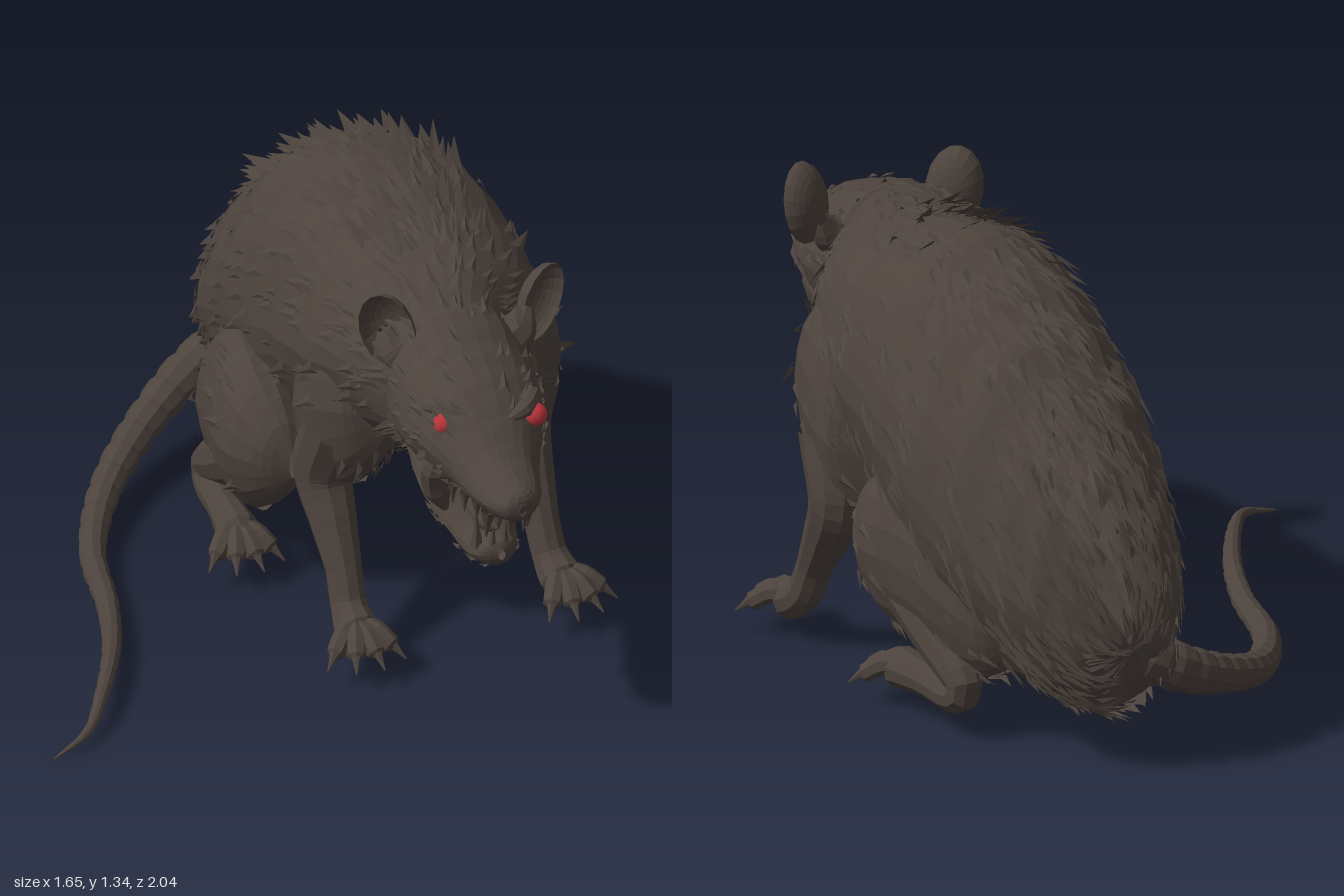
import * as THREE from 'three';
import { mergeGeometries } from 'three/addons/utils/BufferGeometryUtils.js';

const V = (x, y, z) => new THREE.Vector3(x, y, z);
let seed = 7;
const rnd = () => (seed = (seed * 16807) % 2147483647) / 2147483647;

// Skin through elliptical sections [z, x, top, bottom, halfWidth], listed front to back
function loft(rows, n = 40, m = 28, lump = 0.02) {
  const mid = new THREE.CatmullRomCurve3(rows.map(r => V(r[1], (r[2] + r[3]) / 2, r[0])), false, 'catmullrom');
  const size = new THREE.CatmullRomCurve3(rows.map(r => V(r[4], (r[2] - r[3]) / 2, 0)), false, 'catmullrom');
  const at = (t, a) => {
    const c = mid.getPoint(t), s = size.getPoint(t);
    const k = 1 + lump * Math.sin(a * 5 + t * 31) * Math.cos(a * 3 - t * 47);
    const taper = 1 - 0.12 * Math.max(0, -Math.sin(a));
    return V(c.x + Math.cos(a) * s.x * k * taper, c.y + Math.sin(a) * s.y * k, c.z);
  };
  const pos = [], idx = [];
  for (let i = 0; i <= n; i++) for (let j = 0; j < m; j++) pos.push(...at(i / n, j / m * Math.PI * 2).toArray());
  for (let i = 0; i < n; i++) for (let j = 0; j < m; j++) {
    const a = i * m + j, c = i * m + (j + 1) % m;
    idx.push(a, a + m, c, c, a + m, c + m);
  }
  const geo = new THREE.BufferGeometry();
  geo.setAttribute('position', new THREE.Float32BufferAttribute(pos, 3));
  geo.setIndex(idx);
  geo.computeVertexNormals();
  return { geo, at };
}

// Swept limb through [x, y, z, radius]
function limb(pts, n = 20, m = 9, ringed = false) {
  const curve = new THREE.CatmullRomCurve3(pts.map(p => V(p[0], p[1], p[2])));
  const geo = new THREE.TubeGeometry(curve, n, 1, m), pos = geo.attributes.position, v = V();
  for (let i = 0; i <= n; i++) {
    const c = curve.getPointAt(i / n), t = curve.getUtoTmapping(i / n) * (pts.length - 1);
    const k = Math.min(Math.floor(t), pts.length - 2);
    const r = THREE.MathUtils.lerp(pts[k][3], pts[k + 1][3], t - k) * (ringed && i % 4 === 0 ? 0.9 : 1);
    for (let j = 0; j <= m; j++) {
      const q = i * (m + 1) + j;
      v.fromBufferAttribute(pos, q).sub(c).multiplyScalar(r).add(c);
      pos.setXYZ(q, v.x, v.y, v.z);
    }
  }
  geo.computeVertexNormals();
  return geo;
}

// Pointed tufts lying back along a lofted skin
function tufts(at, count, { t0 = 0.03, t1 = 0.93, a0 = 0, a1 = Math.PI * 2, len = 0.09, lift = 0.12 } = {}) {
  const pos = [];
  for (let i = 0; i < count; i++) {
    const t = t0 + (t1 - t0) * rnd(), a = a0 + (a1 - a0) * rnd(), p = at(t, a);
    const back = at(t + 0.01, a).sub(p).normalize();
    const normal = back.clone().cross(at(t, a + 0.02).sub(p)).normalize();
    back.y -= 0.4;
    back.addScaledVector(normal, -back.dot(normal)).normalize();
    const side = normal.clone().cross(back), l = len * (0.6 + 0.7 * rnd()), w = l * 0.23;
    const tip = p.clone().addScaledVector(back, l).addScaledVector(normal, l * lift * (0.6 + rnd()));
    const ridge = p.clone().addScaledVector(normal, 0.01).addScaledVector(back, l * 0.2);
    const L = p.clone().addScaledVector(side, -w), R = p.clone().addScaledVector(side, w);
    for (const q of [L, tip, ridge, ridge, tip, R]) pos.push(...q.toArray());
  }
  const geo = new THREE.BufferGeometry();
  geo.setAttribute('position', new THREE.Float32BufferAttribute(pos, 3));
  geo.computeVertexNormals();
  return geo;
}

// Tapered spike from one point to another, for teeth and claws
const spike = (a, b, r) => limb([[...a, r], [...b, 0.002]], 2, 6);

// Four clawed toes fanned forward from the end of a foot
function toes(x, y, z, s, len) {
  const parts = [];
  for (let i = 0; i < 4; i++) {
    const a = (i - 1.5) * 0.5 + s * 0.15, dx = Math.sin(a), dz = Math.cos(a);
    const p = d => [x + dx * d, z + dz * d];
    const [x1, z1] = p(len * 0.5), [x2, z2] = p(len), [x3, z3] = p(len + 0.045);
    parts.push(limb([[x, y, z, 0.034], [x1, y + 0.016, z1, 0.03], [x2, y - 0.015, z2, 0.026], [x2 + dx * 0.015, y - 0.022, z2 + dz * 0.015, 0.003]], 8, 7));
    parts.push(spike([x2, y - 0.01, z2], [x3, y - 0.045, z3], 0.016));
  }
  return mergeGeometries(parts);
}

export function createModel() {
  const model = new THREE.Group();
  const fur = new THREE.MeshStandardMaterial({ color: 0x4d433d, flatShading: true, side: THREE.DoubleSide });
  fur.name = 'dark brown fur';
  const red = new THREE.MeshStandardMaterial({ color: 0xb8343a });
  red.name = 'red eye';
  const add = (name, geo, mat = fur) => {
    const mesh = new THREE.Mesh(geo, mat);
    mesh.name = name;
    model.add(mesh);
    return mesh;
  };

  // Hunched body with its coat
  const body = loft([
    [0.50, 0.29, 1.13, 0.76, 0.13], [0.40, 0.30, 1.18, 0.71, 0.20], [0.22, 0.36, 1.21, 0.62, 0.30],
    [0.05, 0.38, 1.235, 0.50, 0.34], [-0.15, 0.385, 1.28, 0.37, 0.355], [-0.35, 0.39, 1.225, 0.25, 0.355],
    [-0.55, 0.385, 1.11, 0.18, 0.335], [-0.72, 0.375, 0.95, 0.14, 0.285], [-0.84, 0.37, 0.80, 0.15, 0.235],
    [-0.92, 0.36, 0.65, 0.19, 0.17], [-0.96, 0.36, 0.52, 0.30, 0.10], [-0.97, 0.36, 0.44, 0.38, 0.01],
  ], 56, 36);
  add('body', body.geo);
  add('bodyFur', tufts(body.at, 800));
  add('backRidgeFur', tufts(body.at, 240, { a0: 1.05, a1: 2.1, t0: 0.2, t1: 0.9, len: 0.1, lift: 0.35 }));
  add('rumpFur', tufts(body.at, 160, { t0: 0.6, t1: 0.92 }));

  // Skull and muzzle, turned a little to the right, and open lower jaw
  const head = loft([
    [1.0, 0.25, 0.905, 0.87, 0.01], [0.985, 0.25, 0.93, 0.85, 0.05], [0.93, 0.255, 0.945, 0.825, 0.08],
    [0.84, 0.265, 0.97, 0.80, 0.105], [0.75, 0.28, 1.03, 0.79, 0.14], [0.66, 0.29, 1.09, 0.77, 0.18],
    [0.55, 0.30, 1.135, 0.73, 0.20], [0.42, 0.31, 1.18, 0.72, 0.20], [0.34, 0.31, 1.11, 0.80, 0.12],
  ], 34, 26);
  add('head', head.geo);
  add('headFur', tufts(head.at, 110, { t0: 0.5, t1: 0.9, len: 0.06, lift: 0.08 }));
  const jaw = loft([
    [0.81, 0.275, 0.64, 0.61, 0.01], [0.79, 0.275, 0.665, 0.585, 0.05], [0.74, 0.275, 0.665, 0.575, 0.075],
    [0.66, 0.28, 0.70, 0.605, 0.10], [0.55, 0.285, 0.79, 0.665, 0.135], [0.42, 0.29, 0.86, 0.70, 0.12],
  ], 20, 18);
  add('lowerJaw', jaw.geo);
  add('jawFur', tufts(jaw.at, 60, { t0: 0.25, len: 0.05, a0: Math.PI, lift: 0.1 }));
  add('tongue', limb([[0.28, 0.76, 0.58, 0.04], [0.278, 0.71, 0.67, 0.045], [0.276, 0.69, 0.74, 0.035], [0.276, 0.69, 0.77, 0.004]], 10, 8));
  add('nose', new THREE.SphereGeometry(0.045, 10, 8).scale(1.1, 0.8, 0.7).translate(0.25, 0.905, 0.968));

  // Fangs, cheek teeth, cheeks, brows, eyes and ears
  for (const s of [-1, 1]) {
    const side = s < 0 ? 'right' : 'left', turn = s * 0.03;
    const teeth = [
      spike([0.255 + s * 0.022, 0.85, 0.95], [0.255 + s * 0.02, 0.785, 0.945], 0.016),
      spike([0.262 + s * 0.06, 0.84, 0.885], [0.265 + s * 0.06, 0.735, 0.86], 0.024),
      spike([0.275 + s * 0.018, 0.64, 0.785], [0.275 + s * 0.018, 0.71, 0.795], 0.014),
      spike([0.275 + s * 0.05, 0.64, 0.755], [0.275 + s * 0.054, 0.74, 0.765], 0.02),
    ];
    for (let i = 0; i < 3; i++) {
      const z = 0.82 - i * 0.05, x = 0.272 + s * (0.075 + i * 0.012);
      teeth.push(spike([x, 0.83, z], [x, 0.765, z - 0.005], 0.016));
    }
    add(side + 'Teeth', mergeGeometries(teeth));
    add(side + 'Cheek', limb([[0.285 + s * 0.13, 0.90, 0.67, 0.01], [0.285 + s * 0.13, 0.84, 0.64, 0.04], [0.283 + s * 0.11, 0.75, 0.62, 0.04], [0.282 + s * 0.09, 0.69, 0.63, 0.01]], 10, 8));
    add(side + 'Brow', limb([[0.285 + s * 0.03, 1.01, 0.75, 0.008], [0.285 + s * 0.085, 1.03, 0.715 + turn, 0.024], [0.285 + s * 0.135, 1.03, 0.66 + turn, 0.022], [0.285 + s * 0.15, 1.0, 0.61 + turn, 0.006]], 10, 8));
    add(side + 'Eye', new THREE.SphereGeometry(0.032, 14, 10).translate(0.285 + s * 0.12, 1.0, 0.71 + turn), red);
    const ear = add(side + 'Ear', new THREE.SphereGeometry(1, 16, 7, 0, Math.PI * 2, 0, Math.PI / 2)
      .rotateX(-Math.PI / 2).scale(0.08, 0.12, 0.06));
    ear.position.set(s < 0 ? 0.125 : 0.55, s < 0 ? 1.135 : 1.155, s < 0 ? 0.40 : 0.47);
    ear.rotation.set(0.1, s < 0 ? -0.75 : 0.4, -s * 0.2);
    add(side + 'EarBase', limb([[0.30 + s * 0.12, 1.04, 0.43 + turn, 0.06], [0.32 + s * 0.17, 1.07, 0.41 + turn, 0.055], [0.33 + s * 0.195, 1.12, 0.39 + turn, 0.02]], 8, 8));
  }

  // Legs, mirrored about the body line
  for (const s of [-1, 1]) {
    const side = s < 0 ? 'right' : 'left';
    const fx = d => 0.395 + s * d, hx = d => 0.335 + s * d;
    const shoulder = loft([
      [0.27, fx(0.21), 0.86, 0.70, 0.02], [0.22, fx(0.23), 0.98, 0.58, 0.09], [0.10, fx(0.25), 1.0, 0.46, 0.11],
      [-0.02, fx(0.255), 0.92, 0.43, 0.10], [-0.10, fx(0.24), 0.75, 0.52, 0.02],
    ], 16, 16);
    add(side + 'Shoulder', shoulder.geo);
    add(side + 'ShoulderFur', tufts(shoulder.at, 60, { len: 0.07 }));
    const arm = [
      [fx(0.27), 0.66, 0.09, 0.10], [fx(0.29), 0.48, 0.035, 0.083], [fx(0.29), 0.36, 0.095, 0.066],
      [fx(0.29), 0.24, 0.165, 0.05], [fx(0.295), 0.15, 0.21, 0.05], [fx(0.30), 0.11, 0.27, 0.062], [fx(0.30), 0.10, 0.33, 0.01],
    ];
    add(side + 'FrontLeg', limb(arm, 24, 10));
    add(side + 'FrontToes', toes(fx(0.30), 0.11, 0.26, s, 0.115));

    const thigh = loft([
      [-0.04, hx(0.285), 0.50, 0.42, 0.01], [-0.09, hx(0.295), 0.59, 0.33, 0.08], [-0.21, hx(0.30), 0.68, 0.23, 0.125],
      [-0.38, hx(0.275), 0.70, 0.19, 0.115], [-0.52, hx(0.25), 0.61, 0.17, 0.10], [-0.62, hx(0.225), 0.48, 0.20, 0.07],
      [-0.66, hx(0.21), 0.36, 0.28, 0.01],
    ], 22, 18);
    add(side + 'Thigh', thigh.geo);
    add(side + 'ThighFur', tufts(thigh.at, 80, { t0: 0.25, t1: 0.85, len: 0.07 }));
    add(side + 'HindLeg', limb([
      [hx(0.31), 0.40, -0.22, 0.09], [hx(0.30), 0.27, -0.40, 0.075], [hx(0.295), 0.155, -0.555, 0.05],
      [hx(0.30), 0.12, -0.53, 0.05], [hx(0.32), 0.12, -0.40, 0.047], [hx(0.335), 0.115, -0.28, 0.06], [hx(0.335), 0.10, -0.23, 0.01],
    ], 28, 10));
    add(side + 'HindToes', toes(hx(0.335), 0.11, -0.30, s, 0.11));
  }

  // Ringed tail sweeping round to the side
  add('tail', limb([
    [0.34, 0.34, -0.86, 0.09], [0.18, 0.25, -0.90, 0.068], [0.0, 0.165, -0.835, 0.055], [-0.2, 0.085, -0.68, 0.046],
    [-0.35, 0.05, -0.45, 0.038], [-0.42, 0.045, -0.2, 0.032], [-0.5, 0.055, 0.0, 0.027], [-0.62, 0.058, 0.2, 0.02],
    [-0.72, 0.035, 0.32, 0.013], [-0.83, 0.004, 0.355, 0.003],
  ], 100, 10, true));

  return model;
}
